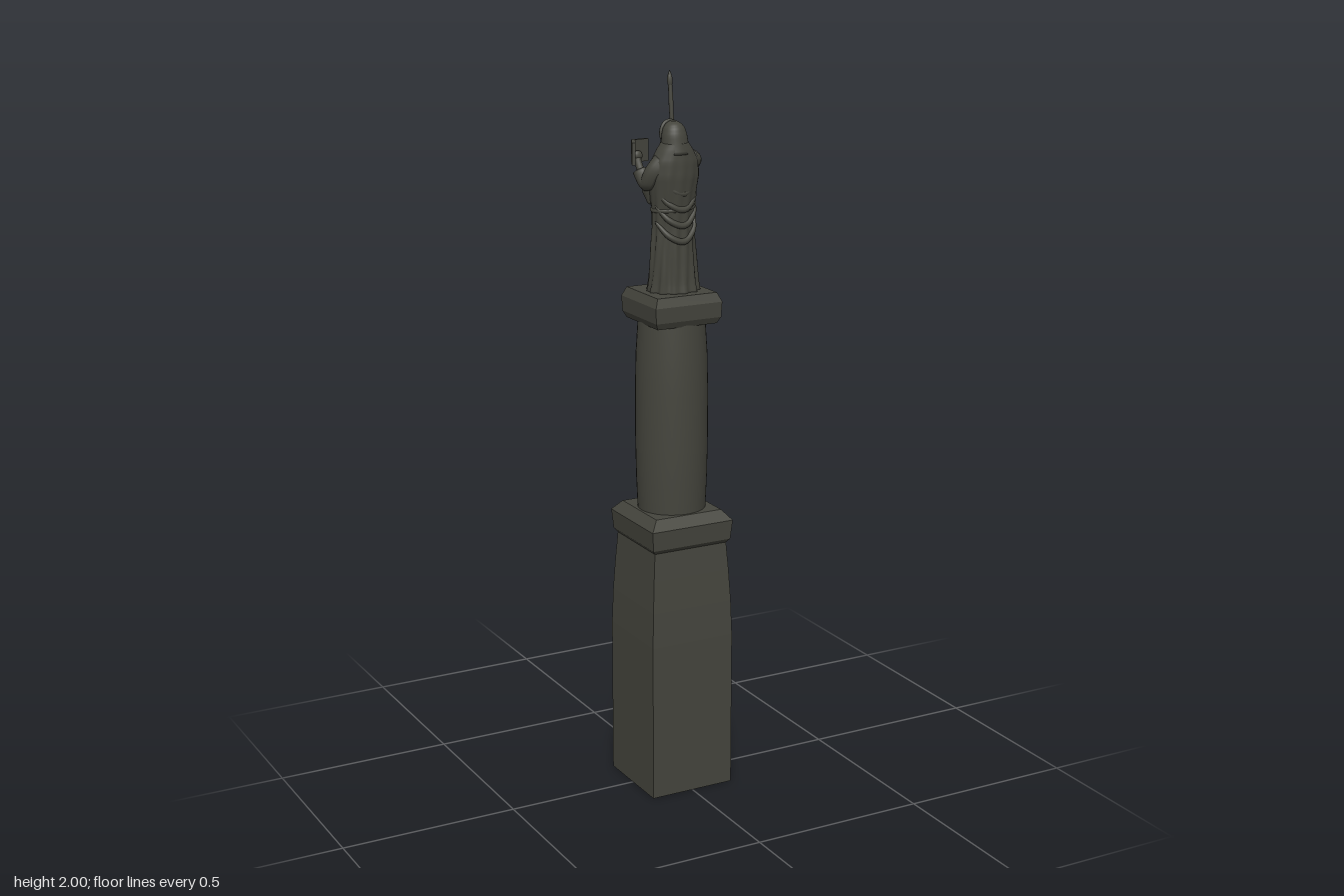
import * as THREE from 'three';

const stone = new THREE.MeshStandardMaterial({ color: 0x45453d });
stone.name = 'dark stone';

function add(parent, name, geometry, pos = [0, 0, 0], rot = [0, 0, 0], scale = [1, 1, 1]) {
  const m = new THREE.Mesh(geometry, stone);
  m.name = name;
  m.position.set(...pos);
  m.rotation.set(...rot);
  m.scale.set(...scale);
  parent.add(m);
  return m;
}

// Square block from a profile of [half width, y], closed at both ends
function squareBlock(profile) {
  const pts = [[0, profile[0][1]], ...profile, [0, profile[profile.length - 1][1]]]
    .map(([w, y]) => new THREE.Vector2(w * Math.SQRT2, y));
  const g = new THREE.LatheGeometry(pts, 4, Math.PI / 4).toNonIndexed();
  g.computeVertexNormals();
  return g;
}

// Stacked elliptical sections [y, cx, cz, rx, rz, foldDepth], smoothed between rows
function loft(rows, folds = 0, twist = 0, sides = 64, steps = 40) {
  const pos = [], idx = [];
  const ring = (s, shrink) => {
    const f = s * (rows.length - 1);
    const i = Math.min(Math.floor(f), rows.length - 2);
    const [y, cx, cz, rx, rz, d = 0] = rows[i].map((v, k) => THREE.MathUtils.lerp(v, rows[i + 1][k], f - i));
    for (let j = 0; j <= sides; j++) {
      const a = (j / sides) * Math.PI * 2;
      const w = Math.sin(folds * a + twist * y) + 0.5 * Math.sin((folds - 4) * a - twist * y);
      const r = (1 + d * w) * shrink;
      pos.push(cx + rx * r * Math.cos(a), y, cz + rz * r * Math.sin(a));
    }
  };
  ring(0, 0);
  for (let i = 0; i <= steps; i++) ring(i / steps, 1);
  ring(1, 0);
  const n = sides + 1;
  for (let i = 0; i < steps + 2; i++) {
    for (let j = 0; j < sides; j++) {
      const a = i * n + j, b = a + n;
      idx.push(a, b, a + 1, b, b + 1, a + 1);
    }
  }
  const g = new THREE.BufferGeometry();
  g.setAttribute('position', new THREE.Float32BufferAttribute(pos, 3));
  g.setIndex(idx);
  g.computeVertexNormals();
  return g;
}

// Tube whose radius follows a list; both ends are pinched shut
function limb(points, radii, steps = 24, sides = 14) {
  const curve = new THREE.CatmullRomCurve3(points.map(p => new THREE.Vector3(...p)));
  const g = new THREE.TubeGeometry(curve, steps, 1, sides, false);
  const p = g.attributes.position, v = new THREE.Vector3();
  for (let i = 0; i <= steps; i++) {
    const c = curve.getPointAt(i / steps);
    const f = (i / steps) * (radii.length - 1);
    const k = Math.min(Math.floor(f), radii.length - 2);
    const r = i === 0 || i === steps ? 0 : THREE.MathUtils.lerp(radii[k], radii[k + 1], f - k);
    for (let j = 0; j <= sides; j++) {
      const q = i * (sides + 1) + j;
      v.fromBufferAttribute(p, q).sub(c).multiplyScalar(r).add(c);
      p.setXYZ(q, v.x, v.y, v.z);
    }
  }
  g.computeVertexNormals();
  return g;
}

function buildPedestal() {
  const g = new THREE.Group();
  g.name = 'pedestal';
  add(g, 'lowerBlock', squareBlock([
    [0.125, 0], [0.125, 0.45], [0.122, 0.55], [0.117, 0.64], [0.111, 0.725]]));
  add(g, 'middleCollar', squareBlock([
    [0.11, 0.717], [0.12, 0.73], [0.125, 0.785], [0.101, 0.813]]));
  const shaft = [[0.094, 0.805], [0.098, 0.9], [0.1, 1.0], [0.1, 1.15], [0.098, 1.25], [0.092, 1.345]];
  add(g, 'columnShaft', new THREE.LatheGeometry(shaft.map(p => new THREE.Vector2(...p)), 40));
  add(g, 'topCap', squareBlock([
    [0.09, 1.34], [0.099, 1.358], [0.101, 1.4], [0.09, 1.425]]));
  return g;
}

function buildStatue() {
  const g = new THREE.Group();
  g.name = 'robedStatue';

  // Robe, shoulders and hood
  add(g, 'robe', loft([
    [1.422, 0.004, 0.002, 0.073, 0.063, 0.06],
    [1.45, 0.002, 0.006, 0.068, 0.056, 0.06],
    [1.50, 0, 0.01, 0.064, 0.05, 0.05],
    [1.55, -0.002, 0.011, 0.061, 0.048, 0.045],
    [1.60, -0.003, 0.012, 0.058, 0.047, 0.035],
    [1.65, -0.004, 0.015, 0.06, 0.047, 0.02],
    [1.70, -0.005, 0.018, 0.066, 0.051, 0.02],
    [1.74, -0.005, 0.022, 0.071, 0.052, 0.02],
    [1.78, -0.005, 0.026, 0.066, 0.049, 0.01],
    [1.81, -0.007, 0.03, 0.05, 0.043, 0],
    [1.83, -0.009, 0.034, 0.036, 0.036, 0]], 13, 14));
  add(g, 'hood', loft([
    [1.80, -0.008, 0.034, 0.042, 0.042],
    [1.825, -0.009, 0.035, 0.037, 0.036],
    [1.85, -0.01, 0.034, 0.034, 0.033],
    [1.867, -0.01, 0.032, 0.029, 0.029],
    [1.878, -0.01, 0.03, 0.021, 0.022],
    [1.885, -0.01, 0.028, 0.009, 0.01]], 0, 0, 28, 15));

  // Face, hood rim and beard
  const ball = new THREE.SphereGeometry(1, 18, 12);
  add(g, 'face', ball, [-0.01, 1.847, 0.015], [0, 0, 0], [0.021, 0.028, 0.022]);
  add(g, 'nose', new THREE.ConeGeometry(0.004, 0.014, 8), [-0.01, 1.847, -0.008], [0.25, 0, 0]);
  add(g, 'hoodRim', new THREE.TorusGeometry(0.026, 0.006, 8, 28), [-0.01, 1.85, 0.01], [-0.1, 0, 0], [1, 1.2, 1]);
  add(g, 'beard', limb([[-0.01, 1.835, -0.001], [-0.01, 1.80, -0.015], [-0.011, 1.76, -0.026], [-0.012, 1.72, -0.03]],
    [0.016, 0.022, 0.018, 0.004]));

  // Belt with hanging ends
  const belt = add(g, 'belt', new THREE.TorusGeometry(1, 0.1, 8, 40), [-0.004, 1.652, 0.015], [Math.PI / 2, 0, 0], [0.058, 0.046, 0.06]);
  belt.rotation.y = 0.06;
  for (const s of [-1, 1]) {
    add(g, 'beltEnd', limb([[-0.004, 1.655, -0.034], [s * 0.01, 1.59, -0.037], [s * 0.014, 1.52, -0.04]],
      [0.005, 0.005, 0.006], 12, 8));
  }

  // Cloak folds sweeping diagonally across the +z side
  for (let i = 0; i < 4; i++) {
    const y = 1.735 - i * 0.043;
    add(g, 'cloakFold', limb([
      [-0.064, y + 0.015, 0.025], [-0.035, y - 0.025, 0.055], [0.005, y - 0.04, 0.061],
      [0.04, y - 0.015, 0.046], [0.056, y + 0.03, 0.022]],
      [0.004, 0.008, 0.009, 0.008, 0.004], 24, 10));
  }

  // Arm reaching out to the staff
  add(g, 'leftSleeve', limb([
    [0.03, 1.785, 0.03], [0.056, 1.775, 0.01], [0.06, 1.782, -0.025], [0.06, 1.79, -0.07]],
    [0.027, 0.027, 0.023, 0.026, 0.031]));
  add(g, 'leftSleeveDrape', limb([
    [0.058, 1.78, -0.01], [0.059, 1.755, -0.035], [0.06, 1.752, -0.06]],
    [0.014, 0.018, 0.012], 14));
  add(g, 'leftForearm', limb([[0.06, 1.79, -0.055], [0.061, 1.812, -0.085], [0.062, 1.828, -0.106]],
    [0.013, 0.011, 0.009], 12));
  add(g, 'leftHand', ball, [0.061, 1.83, -0.11], [0, 0, 0], [0.012, 0.012, 0.013]);
  for (let i = 0; i < 4; i++) {
    add(g, 'leftFinger', ball, [0.058, 1.821 + i * 0.006, -0.118], [0, 0, 0], [0.01, 0.0035, 0.006]);
  }

  // Staff with a thickened head
  add(g, 'staff', limb([[0.055, 1.495, -0.079], [0.058, 1.66, -0.093], [0.06, 1.83, -0.107], [0.059, 2.0, -0.121]],
    [0.004, 0.006, 0.0055, 0.0055, 0.0055, 0.0065, 0.005], 40, 10));
  add(g, 'staffHead', ball, [0.059, 1.972, -0.119], [-0.08, 0, 0], [0.0075, 0.02, 0.0075]);

  // Bent arm holding the book
  add(g, 'rightSleeve', limb([
    [-0.04, 1.785, 0.03], [-0.066, 1.75, 0.022], [-0.074, 1.722, 0.005], [-0.077, 1.738, -0.018], [-0.08, 1.755, -0.03]],
    [0.026, 0.026, 0.024, 0.022, 0.021]));
  add(g, 'rightSleeveDrape', limb([[-0.07, 1.735, -0.01], [-0.066, 1.70, -0.012], [-0.06, 1.66, -0.01]],
    [0.018, 0.015, 0.004], 14));
  add(g, 'rightForearm', limb([[-0.078, 1.74, -0.02], [-0.081, 1.768, -0.034], [-0.082, 1.785, -0.041]],
    [0.011, 0.01, 0.009], 12));
  add(g, 'rightHand', ball, [-0.08, 1.788, -0.042], [0, 0, 0], [0.014, 0.014, 0.009]);

  // Open book: two leaves meeting at the spine
  const spine = [-0.087, -0.053];
  for (const [x, z] of [[-0.113, 0], [-0.042, -0.059]]) {
    const dx = x - spine[0], dz = z - spine[1];
    add(g, 'bookLeaf', new THREE.BoxGeometry(Math.hypot(dx, dz), 0.06, 0.01),
      [spine[0] + dx / 2, 1.8, spine[1] + dz / 2], [0, Math.atan2(-dz, dx), 0]);
  }
  add(g, 'bookSpine', new THREE.CylinderGeometry(0.006, 0.006, 0.06, 10), [spine[0], 1.8, spine[1]]);
  return g;
}

export function createModel() {
  const model = new THREE.Group();
  model.name = 'statueOnColumn';
  model.add(buildPedestal(), buildStatue());
  return model;
}
